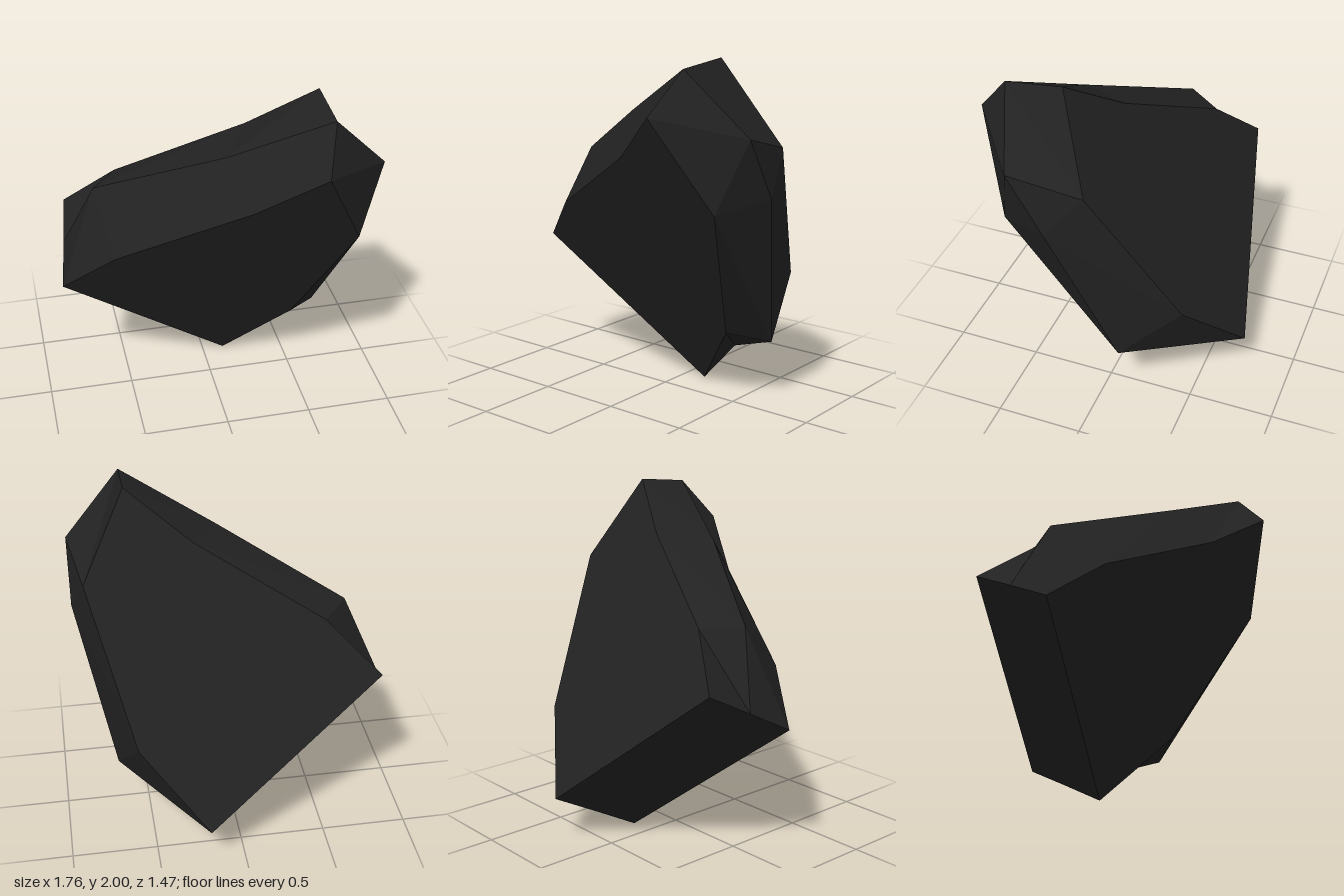
import * as THREE from 'three';

// The two flat faces of the slab are parallel, leaning planes
const onPlane = (offset, points) =>
  points.map(([x, y]) => [x, y, offset + 0.156 * x + 0.521 * y]);

// Outlines run clockwise seen from the front, starting at the lowest corner.
// The right-hand corner of each face meets two points of the middle outline,
// so it is listed twice to keep the three loops in step.
const front = onPlane(-0.24, [
  [0.13, 0], [-0.88, 0.8], [-0.59, 1.07], [0.12, 1.46],
  [0.47, 1.73], [0.73, 1.22], [0.73, 1.22], [0.49, 0.43],
]);
const middle = [
  [0.17, 0.14, -0.48], [-0.84, 0.94, -0.22], [-0.66, 1.36, -0.09], [0.02, 1.69, 0.31],
  [0.55, 1.965, 0.54], [0.88, 1.62, 0.41], [0.88, 1.28, 0.21], [0.68, 0.37, -0.12],
];
const back = onPlane(-0.913, [
  [0.21, 0.275], [-0.8, 1.075], [-0.51, 1.35], [0.19, 1.733],
  [0.55, 2], [0.81, 1.52], [0.81, 1.52], [0.58, 0.69],
]);

function rockGeometry(loops) {
  const positions = [];
  const triangle = (a, b, c) => {
    if (a !== b && b !== c && a !== c) positions.push(...a, ...b, ...c);
  };
  const count = loops[0].length;
  // Shared corners become one point
  for (const loop of [loops[0], loops[2]]) loop[6] = loop[5];

  // Chipped rim between neighbouring outlines
  for (let k = 0; k < loops.length - 1; k++) {
    const a = loops[k], b = loops[k + 1];
    for (let i = 0; i < count; i++) {
      const j = (i + 1) % count;
      triangle(a[i], a[j], b[j]);
      triangle(a[i], b[j], b[i]);
    }
  }

  // Flat front and back faces
  const first = loops[0], last = loops[loops.length - 1];
  for (let i = 1; i < count - 1; i++) {
    triangle(first[0], first[i + 1], first[i]);
    triangle(last[0], last[i], last[i + 1]);
  }

  const geometry = new THREE.BufferGeometry();
  geometry.setAttribute('position', new THREE.Float32BufferAttribute(positions, 3));
  geometry.computeVertexNormals(); // unshared corners give flat facets
  return geometry;
}

export function createModel() {
  const group = new THREE.Group();
  group.name = 'rockShard';

  const darkStone = new THREE.MeshStandardMaterial({ color: 0x222222 });
  darkStone.name = 'darkStone';

  const shard = new THREE.Mesh(rockGeometry([front, middle, back]), darkStone);
  shard.name = 'stoneSlab';
  group.add(shard);
  return group;
}
